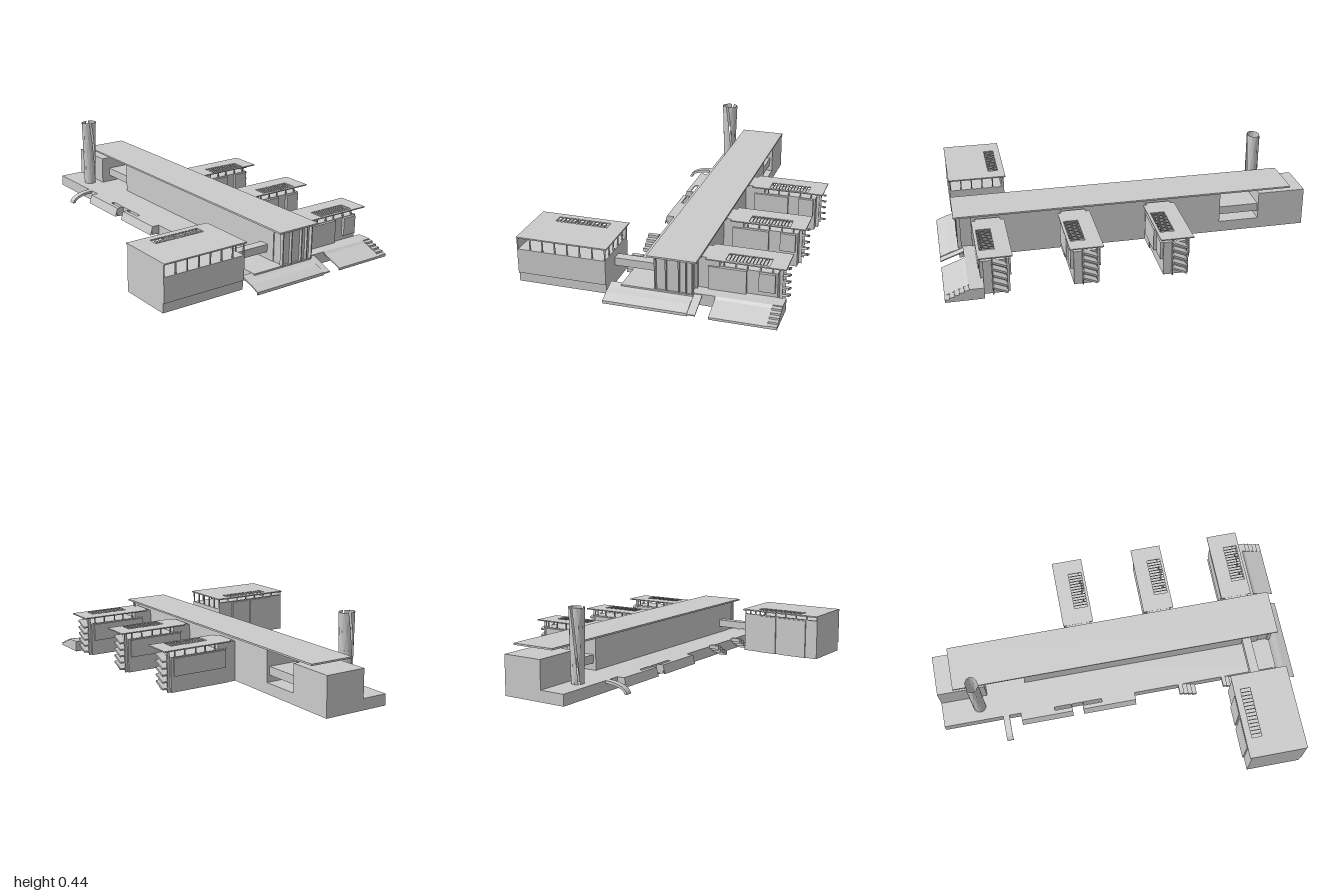
import * as THREE from 'three';

const grey = new THREE.MeshStandardMaterial({ color: 0xcccccc, flatShading: true, side: THREE.DoubleSide });

function add(parent, name, geometry) {
  const mesh = new THREE.Mesh(geometry, grey);
  mesh.name = name;
  parent.add(mesh);
  return mesh;
}

function group(parent, name) {
  const g = new THREE.Group();
  g.name = name;
  parent.add(g);
  return g;
}

// Box given by its limits
function box(parent, name, x0, x1, y0, y1, z0, z1) {
  const mesh = add(parent, name, new THREE.BoxGeometry(x1 - x0, y1 - y0, z1 - z0));
  mesh.position.set((x0 + x1) / 2, (y0 + y1) / 2, (z0 + z1) / 2);
  return mesh;
}

// Thin-walled box without a floor
function shell(...args) {
  const { geometry } = box(...args);
  geometry.setIndex(Array.from(geometry.index.array).filter((_, i) => i < 18 || i >= 24));
  geometry.clearGroups();
}

const polygon = (points) => new THREE.Shape(points.map(([a, b]) => new THREE.Vector2(a, b)));
const extrude = (shape, depth) => new THREE.ExtrudeGeometry(shape, { depth, bevelEnabled: false });

// Thin sloping slab: a line in (z, y) swept along x
function slabX(parent, name, line, x0, x1) {
  const under = line.map(([z, y]) => [z, y - 0.006]).reverse();
  return add(parent, name, extrude(polygon([...line, ...under]), x1 - x0).rotateY(-Math.PI / 2).translate(x1, 0, 0));
}

// Profile in (x, y) swept along z
function sweepZ(parent, name, profile, z0, z1) {
  return add(parent, name, extrude(polygon(profile), z1 - z0).translate(0, 0, z0));
}

// Flat roof with a slatted skylight opening
function roofWithSkylight(parent, [x0, x1, z0, z1], [a0, a1, b0, b1], y, thick, slats) {
  const shape = polygon([[x0, -z0], [x0, -z1], [x1, -z1], [x1, -z0]]);
  shape.holes.push(new THREE.Path([[a0, -b0], [a1, -b0], [a1, -b1], [a0, -b1]].map(([a, b]) => new THREE.Vector2(a, b))));
  add(parent, 'roof', extrude(shape, thick).rotateX(-Math.PI / 2).translate(0, y, 0));
  for (let i = 1; i < slats; i++) {
    const x = a0 + (a1 - a0) * i / slats;
    box(parent, 'skylightSlat', x - 0.0015, x + 0.0015, y, y + thick, b0, b1);
  }
}

function buildHall(model) {
  const hall = group(model, 'mainHall');
  shell(hall, 'base', -0.13, 0.235, 0, 0.06, -1, 0.9);
  box(hall, 'hallBody', 0.045, 0.235, 0.06, 0.24, -0.52, 0.83);
  box(hall, 'hallRoof', 0.01, 0.257, 0.238, 0.247, -0.91, 0.92);
  box(hall, 'rearBlock', 0.01, 0.235, 0.06, 0.21, -1, -0.74);
  box(hall, 'rearBridge', 0.06, 0.22, 0.097, 0.142, -0.745, -0.515);

  // Glazed entrance with slim columns
  box(hall, 'entranceGlass', 0.05, 0.225, 0.06, 0.24, 0.83, 0.89);
  for (const x of [0.045, 0.1, 0.165, 0.2, 0.232]) {
    box(hall, 'entranceColumn', x - 0.003, x + 0.003, 0.06, 0.24, 0.885, 0.905);
  }

  // Broad sloping forecourt with a flat landing and a low cheek
  slabX(hall, 'forecourt', [[0.88, 0.06], [0.92, 0.044], [0.95, 0.036], [1, 0.015]], -0.19, 0.235);
  box(hall, 'forecourtEdge', -0.19, 0.235, 0, 0.015, 0.994, 1);
  slabX(hall, 'forecourtCheek', [[0.88, 0.056], [1, 0.012]], 0.235, 0.275);
}

function buildWestEdge(model) {
  const edge = group(model, 'westEdge');
  // Folded planter plates: a wide run and a narrow run each
  const runs = [[-0.57, -0.38, -0.13], [-0.38, -0.28, -0.15], [-0.22, -0.11, -0.15], [-0.11, 0.08, -0.13]];
  for (const [z0, z1, x] of runs) {
    sweepZ(edge, 'planter', [[x, 0.06], [-0.172, 0.06], [-0.186, 0.012], [-0.18, 0.012], [-0.167, 0.053], [x, 0.053]], z0, z1);
  }
  for (const z of [-0.57, -0.286, -0.22, 0.074]) box(edge, 'planterEnd', -0.172, -0.13, 0.012, 0.06, z, z + 0.006);

  // Short flights of steps
  for (const [z0, z1] of [[0.33, 0.43], [0.58, 0.67]]) {
    for (let i = 0; i < 4; i++) {
      const z = z0 + (z1 - z0) * i / 4;
      box(edge, 'sideStep', -0.187, -0.128, 0.048 - i * 0.015, 0.068 - i * 0.015, z, z + (z1 - z0) / 4);
    }
  }
  // Thin curved ramp at the back
  const outer = [], inner = [];
  for (let i = 0; i <= 6; i++) {
    const a = (i / 6) * Math.PI / 2;
    outer.push([-0.13 - 0.13 * Math.sin(a), 0.005 + 0.055 * Math.cos(a)]);
    inner.unshift([-0.13 - 0.115 * Math.sin(a), 0.005 + 0.04 * Math.cos(a)]);
  }
  sweepZ(edge, 'curvedRamp', [...outer, ...inner], -0.67, -0.635);
}

// Two flared, twisted shells facing each other
function buildChimney(model) {
  const chimney = group(model, 'chimney');
  for (let k = 0; k < 2; k++) {
    const geo = new THREE.CylinderGeometry(1, 1, 0.38, 5, 4, true, k * Math.PI + 0.12, Math.PI - 0.24);
    const p = geo.attributes.position;
    for (let i = 0; i < p.count; i++) {
      const t = p.getY(i) / 0.38 + 0.5;
      const a = Math.atan2(p.getZ(i), p.getX(i)) + 0.2 - 1.1 * (1 - t);
      p.setXYZ(i, Math.cos(a) * (0.033 + 0.012 * t), p.getY(i), Math.sin(a) * 0.035);
    }
    geo.computeVertexNormals();
    add(chimney, 'chimneyShell', geo).position.set(-0.05, 0.25, -0.79);
  }
}

// East wing, z0 is its rear roof edge
function buildWing(model, z0) {
  const wing = group(model, 'eastWing');
  const zf = z0 + 0.145;
  shell(wing, 'wingBody', 0.28, 0.625, 0, 0.185, z0 + 0.015, zf);
  shell(wing, 'wingLink', 0.235, 0.34, 0, 0.216, z0 + 0.02, z0 + 0.15);
  box(wing, 'linkRoof', 0.25, 0.29, 0.216, 0.224, z0 + 0.02, z0 + 0.15);
  roofWithSkylight(wing, [0.275, 0.668, z0, z0 + 0.17], [0.37, 0.585, z0 + 0.08, z0 + 0.155], 0.219, 0.006, 13);

  // Facade panels and clerestory posts
  box(wing, 'facadePanel', 0.285, 0.475, 0.06, 0.182, zf, zf + 0.015);
  box(wing, 'windowPanel', 0.535, 0.615, 0.085, 0.182, zf, zf + 0.015);
  box(wing, 'rearPanel', 0.3, 0.61, 0.085, 0.18, z0 + 0.006, z0 + 0.016);
  for (const x of [0.36, 0.42, 0.475, 0.54, 0.6]) {
    for (const z of [z0 + 0.02, zf - 0.005]) box(wing, 'roofPost', x - 0.003, x + 0.003, 0.18, 0.22, z - 0.003, z + 0.003);
  }

  // Tilted sun louvres on the end wall
  for (let i = 0; i < 5; i++) {
    const slat = box(wing, 'louvre', 0.622, 0.667, -0.005, 0.005, -0.038, 0.038);
    slat.rotation.x = -0.4;
    slat.position.y = 0.035 + i * 0.036;
    slat.position.z = z0 + 0.065;
  }
  for (const z of [z0 + 0.03, z0 + 0.1]) box(wing, 'louvreFrame', 0.625, 0.64, 0, 0.219, z - 0.003, z + 0.003);
}

// Terrace and ramp in front of the foremost wing
function buildTerrace(model) {
  const terrace = group(model, 'frontTerrace');
  shell(terrace, 'terrace', 0.235, 0.668, 0, 0.06, 0.805, 0.88);
  slabX(terrace, 'terraceRamp', [[0.88, 0.06], [0.895, 0.05], [1, 0.012]], 0.34, 0.62);
  box(terrace, 'rampEdge', 0.34, 0.62, 0, 0.012, 0.994, 1);
  for (let i = 0; i < 5; i++) {
    shell(terrace, 'terraceStep', 0.62, 0.668, 0, 0.055 - i * 0.01, 0.88 + i * 0.024, 0.904 + i * 0.024);
  }
}

function buildWestPavilion(model) {
  const pavilion = group(model, 'westPavilion');
  shell(pavilion, 'pavilionBody', -0.67, -0.205, 0, 0.18, 0.61, 0.905);
  box(pavilion, 'frontCladding', -0.67, -0.205, 0.05, 0.18, 0.905, 0.913);
  box(pavilion, 'rearWall', -0.67, -0.205, 0.18, 0.22, 0.61, 0.625);
  box(pavilion, 'westWall', -0.67, -0.664, 0.18, 0.24, 0.61, 0.912);
  roofWithSkylight(pavilion, [-0.67, -0.195, 0.6, 0.917], [-0.56, -0.28, 0.635, 0.69], 0.24, 0.007, 14);
  // Gallery posts around the open edges
  for (let i = 0; i <= 7; i++) {
    const x = -0.667 + i * 0.0657;
    for (const z of [0.615, 0.907]) box(pavilion, 'galleryPost', x - 0.003, x + 0.003, 0.18, 0.24, z - 0.003, z + 0.003);
  }
  for (let i = 1; i < 5; i++) {
    const z = 0.615 + i * 0.0584;
    box(pavilion, 'galleryPost', -0.211, -0.205, 0.18, 0.24, z - 0.003, z + 0.003);
  }
  // Shallow panels on the back wall
  for (const [x0, x1] of [[-0.41, -0.3], [-0.6, -0.43]]) box(pavilion, 'rearPanel', x0, x1, 0, 0.215, 0.602, 0.611);
  // Covered bridge to the hall
  box(pavilion, 'linkBridge', -0.21, 0.05, 0.097, 0.138, 0.735, 0.785);
}

export function createModel() {
  const model = new THREE.Group();
  model.name = 'schoolBuilding';
  buildHall(model);
  buildWestEdge(model);
  buildChimney(model);
  for (const z0 of [-0.25, 0.21, 0.66]) buildWing(model, z0);
  buildTerrace(model);
  buildWestPavilion(model);
  return model;
}
